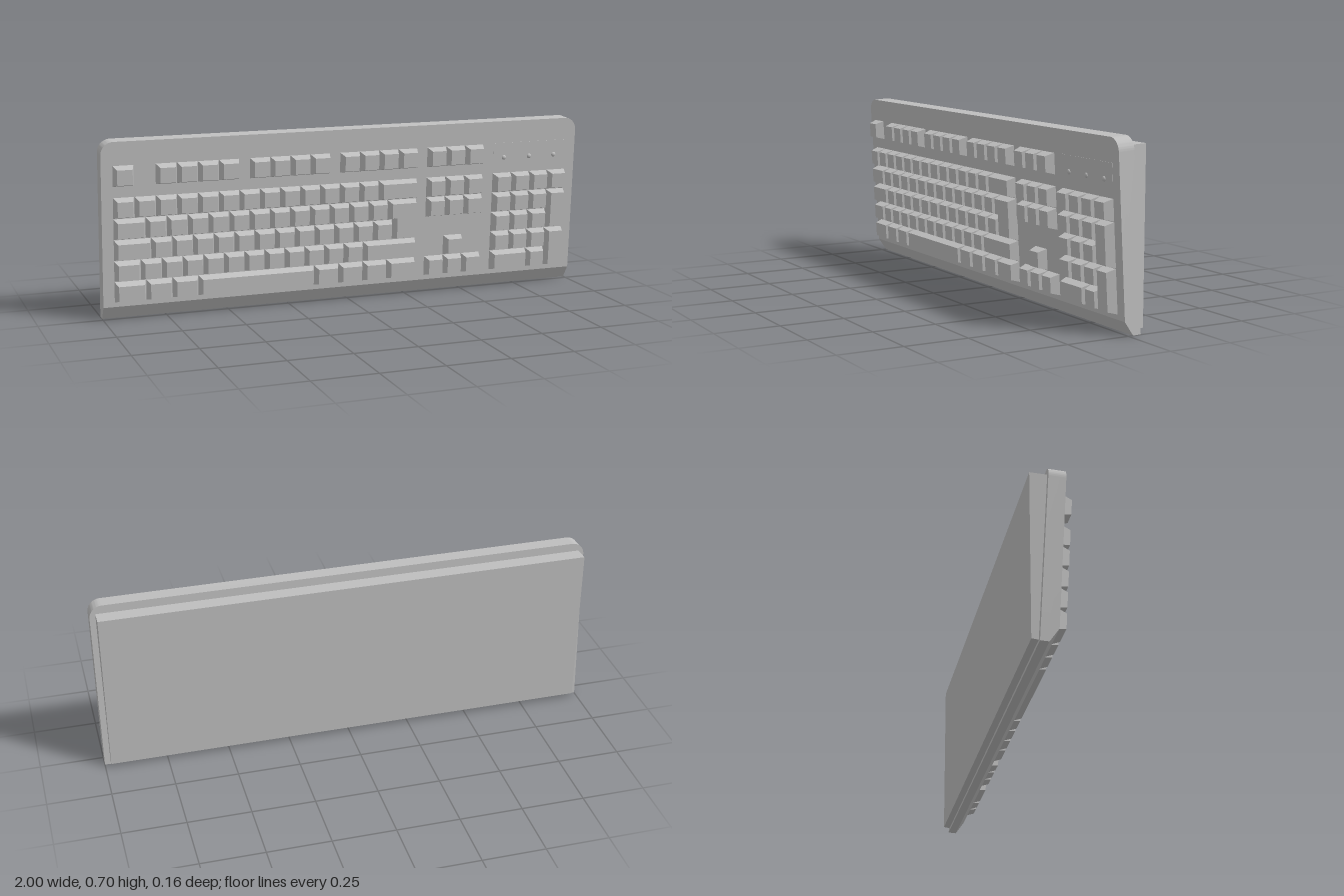
import * as THREE from 'three';
import { toCreasedNormals } from 'three/addons/utils/BufferGeometryUtils.js';

const U = 0.0829;          // one key unit
const LEFT = -0.957;       // left edge of the key field
const FACE = 0.065;        // thickness of the top shell
const NAV = 15.52, PAD = 19.09; // starts of the navigation and number blocks, in units

export function createModel() {
  const grey = new THREE.MeshStandardMaterial({ color: 0xbfbfbf });
  grey.name = 'grey plastic';
  const model = new THREE.Group();
  model.name = 'keyboard';

  const add = (parent, name, geometry) => {
    const mesh = new THREE.Mesh(geometry, grey);
    mesh.name = name;
    parent.add(mesh);
    return mesh;
  };

  // Wedge-shaped base, profile drawn in (z, y) and extruded across x
  const profile = new THREE.Shape([
    [-0.0525, 0.015], [-0.0145, 0.67], [-0.08, 0.673], [-0.078, 0.018],
  ].map(([z, y]) => new THREE.Vector2(-z, y)));
  const base = new THREE.ExtrudeGeometry(profile, { depth: 1.954, bevelEnabled: false });
  base.translate(0, 0, -0.977);
  base.rotateY(Math.PI / 2);
  add(model, 'base', base);

  // Leaning upper assembly: local y runs up the slope, local z points out of the face
  const upper = new THREE.Group();
  upper.name = 'upper';
  upper.position.set(0, 0.002, -0.053);
  upper.rotation.x = 0.057;
  model.add(upper);

  // Top shell with rounded upper corners and a chamfered lower front edge
  const r = 0.05, h = 0.702;
  const outline = new THREE.Shape();
  outline.moveTo(-1, 0);
  outline.lineTo(1, 0);
  outline.lineTo(1, h - r);
  outline.absarc(1 - r, h - r, r, 0, Math.PI / 2);
  outline.lineTo(-1 + r, h);
  outline.absarc(-1 + r, h - r, r, Math.PI / 2, Math.PI);
  outline.closePath();
  const shell = new THREE.ExtrudeGeometry(outline, {
    depth: FACE, steps: 2, bevelEnabled: false, curveSegments: 10,
  });
  const sp = shell.attributes.position;
  for (let i = 0; i < sp.count; i++) {
    if (sp.getY(i) < 0.001 && sp.getZ(i) > FACE - 0.001) sp.setY(i, 0.054);
  }
  add(upper, 'shell', toCreasedNormals(shell, 0.5));

  // Tapered key: column and width in units, row counted from the bottom
  const keys = new THREE.Group();
  keys.name = 'keys';
  upper.add(keys);
  const key = (name, col, row, w = 1, tall = 1) => {
    const gap = 0.0025, inset = 0.0105, height = 0.035;
    const kw = w * U - gap, kh = tall * U - gap;
    const g = new THREE.BoxGeometry(kw, kh, height);
    const p = g.attributes.position;
    for (let i = 0; i < p.count; i++) {
      if (p.getZ(i) > 0) {
        p.setX(i, p.getX(i) - Math.sign(p.getX(i)) * inset);
        p.setY(i, p.getY(i) - Math.sign(p.getY(i)) * inset);
      }
    }
    g.computeVertexNormals();
    add(keys, name, g).position.set(
      LEFT + (col + w / 2) * U, 0.072 + (row + tall / 2) * U, FACE + height / 2);
  };
  const run = (name, col, row, widths) => {
    for (const w of widths) {
      key(name, col, row, w);
      col += w;
    }
  };
  const ones = (n) => Array(n).fill(1);

  // Main block, bottom row upward
  run('mainKey', 0, 0, [1.5, 1.25, 1.25, 5.75, 1.25, 1.25, 1.25, 1.5]);
  run('mainKey', 0, 1, [1.25, ...ones(11), 2.75]);
  run('mainKey', 0, 2, [1.75, ...ones(12)]);
  run('mainKey', 0, 3, [1.5, ...ones(12)]);
  run('mainKey', 0, 4, [...ones(13), 2]);
  key('enterKeyTop', 13.5, 3, 1.5);
  key('enterKeyStem', 13.75, 2, 1.25, 2);

  // Separate top row
  const top = 5.5;
  key('escapeKey', 0, top);
  for (const col of [2, 6.5, 11]) run('topRowKey', col, top, ones(4));

  // Navigation block and arrows
  for (const row of [0, 3, 4, top]) run(row ? 'navigationKey' : 'arrowKey', NAV, row, ones(3));
  key('arrowKey', NAV + 1, 1);

  // Number block
  run('numberKey', PAD, 0, [2, 1]);
  for (const row of [1, 2, 3]) run('numberKey', PAD, row, ones(3));
  run('numberKey', PAD, 4, ones(4));
  key('numberEnterKey', PAD + 3, 0, 1, 2);
  key('numberPlusKey', PAD + 3, 2, 1, 2);

  // Indicator panel and its three lamps
  add(upper, 'indicatorPanel', new THREE.BoxGeometry(4 * U, 0.083, 0.002))
    .position.set(LEFT + (PAD + 2) * U, 0.57, FACE);
  for (const x of [0.675, 0.79, 0.903]) {
    const lamp = add(upper, 'indicatorLamp', new THREE.SphereGeometry(0.01, 16, 10));
    lamp.position.set(x, 0.55, FACE);
    lamp.scale.z = 0.7;
  }

  return model;
}
